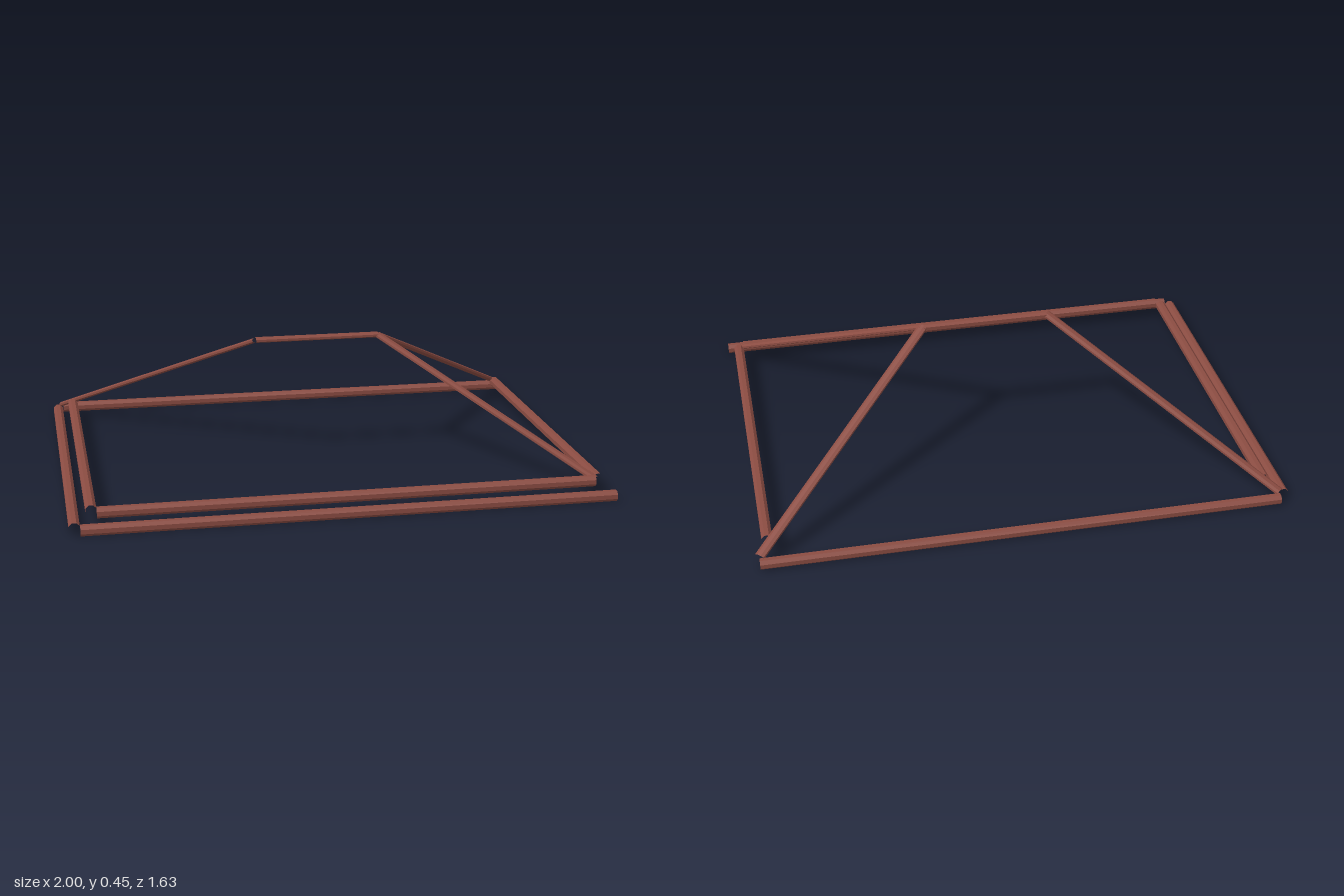
import * as THREE from 'three';

export function createModel() {
  const model = new THREE.Group();
  const redBrown = new THREE.MeshStandardMaterial({ color: 0x8b4c42, flatShading: true });
  redBrown.name = 'redBrownTile';

  // Open-ended eight-sided tube between two points, flattened by a thickness factor
  function beam(name, a, b, thickness = 1) {
    const start = new THREE.Vector3(...a);
    const end = new THREE.Vector3(...b);
    const along = end.clone().sub(start);
    const length = along.length();
    along.normalize();
    const side = new THREE.Vector3(along.z, 0, -along.x).normalize();
    const up = new THREE.Vector3().crossVectors(along, side);
    const geometry = new THREE.CylinderGeometry(0.0195, 0.0195, length, 8, 1, true);
    geometry.rotateY(Math.PI / 8);
    geometry.scale(1, 1, thickness);
    // Local x lies level, y runs along the beam, z is its thickness
    geometry.applyMatrix4(new THREE.Matrix4().makeBasis(side, along, side.clone().cross(along)));
    const mesh = new THREE.Mesh(geometry, redBrown);
    mesh.name = name;
    mesh.position.copy(start).add(end).multiplyScalar(0.5);
    model.add(mesh);
  }

  // Lower eaves course
  const low = 0.019;
  beam('lowerBackEave', [-0.965, low, -0.6], [0.832, low, -0.802]);
  beam('lowerRightSideEave', [-0.982, low, -0.572], [-0.828, low, 0.778]);
  beam('lowerFrontEave', [-0.808, low, 0.796], [0.996, low, 0.59]);

  // Upper eaves course
  const high = 0.056;
  beam('upperRightSideEave', [-0.92, high, -0.53], [-0.777, high, 0.715]);
  beam('upperFrontEave', [-0.758, high, 0.733], [0.932, high, 0.54]);
  beam('upperLeftSideEave', [0.808, high, -0.722], [0.948, high, 0.522]);

  // Ridge and the three hips
  const ridgeA = [-0.21, 0.443, 0.025];
  const ridgeB = [0.24, 0.443, -0.027];
  beam('ridge', ridgeA, ridgeB, 0.5);
  beam('backRightHip', [-0.965, 0.037, -0.585], ridgeA, 0.5);
  beam('backLeftHip', [0.832, 0.037, -0.785], ridgeB, 0.5);
  beam('frontLeftHip', [0.935, 0.06, 0.535], ridgeB, 0.5);

  return model;
}
